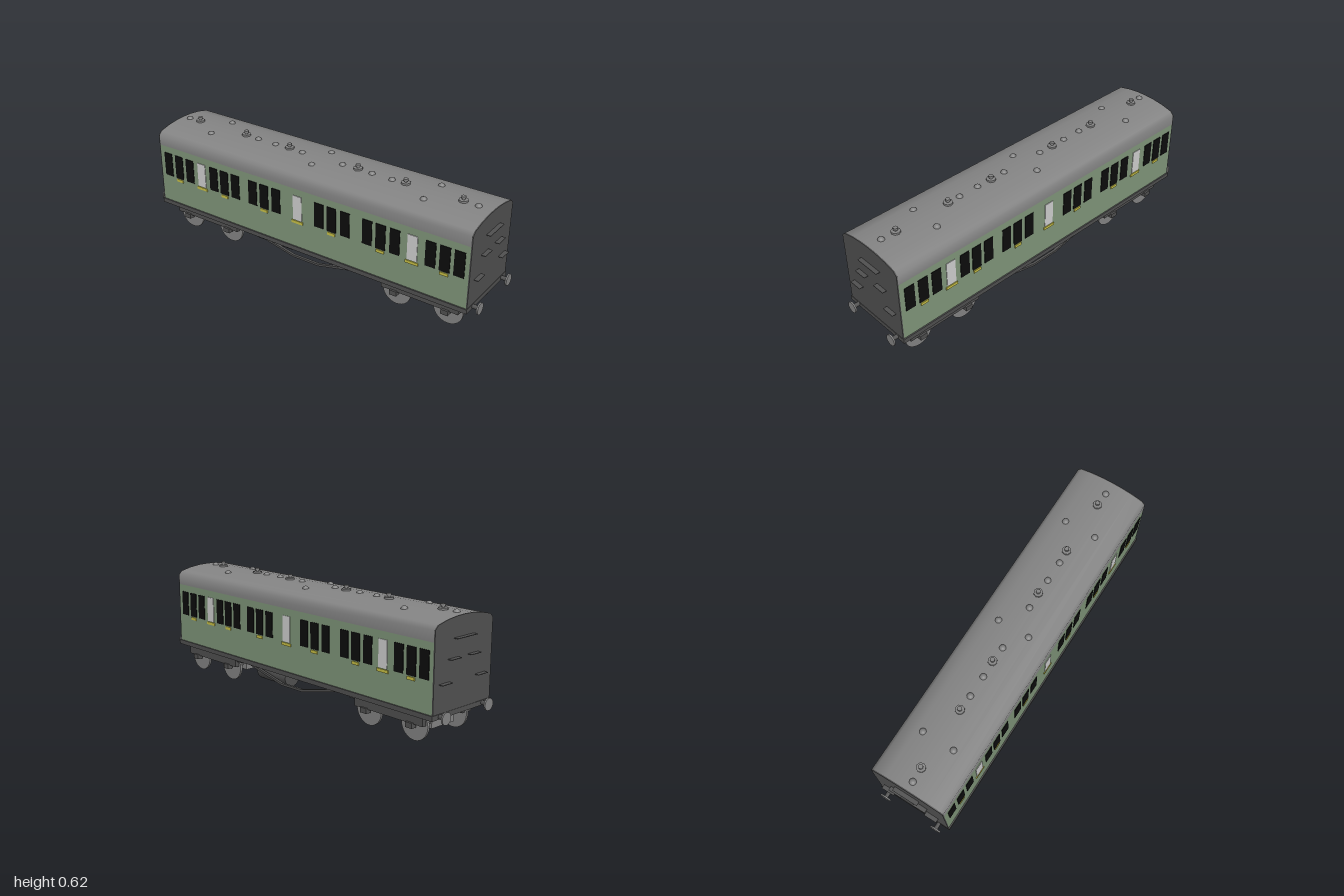
import * as THREE from 'three';
import { toCreasedNormals } from 'three/addons/utils/BufferGeometryUtils.js';

const mat = (name, color) => Object.assign(new THREE.MeshStandardMaterial({ color }), { name });

export function createModel() {
  const green = mat('body green', 0x80967a);
  const grey = mat('roof grey', 0x848484);
  const dark = mat('underframe dark grey', 0x505050);
  const black = mat('window black', 0x0c0c0c);
  const pale = mat('door window pale', 0xd0d0d0);
  const yellow = mat('handle yellow', 0xc8c046);

  const model = new THREE.Group();
  model.name = 'railwayCoach';

  const add = (parent, name, geo, material, x = 0, y = 0, z = 0) => {
    const m = new THREE.Mesh(geo, material);
    m.name = name;
    m.position.set(x, y, z);
    parent.add(m);
    return m;
  };
  // box given by its lower and upper bounds
  const box = (parent, name, material, x0, x1, y0, y1, z0, z1) =>
    add(parent, name, new THREE.BoxGeometry(x1 - x0, y1 - y0, z1 - z0), material,
      (x0 + x1) / 2, (y0 + y1) / 2, (z0 + z1) / 2);
  const group = (name, parent = model) => {
    const g = new THREE.Group();
    g.name = name;
    parent.add(g);
    return g;
  };

  // Body shell
  const W = 0.202, L = 0.952, SILL = 0.165, EAVE = 0.495;
  box(model, 'bodySides', green, -W, W, SILL, EAVE, -L, L);

  // Roof and end plates share one arched outline
  const half = [[W, 0.549], [0.183, 0.569], [0.12, 0.584], [0.055, 0.592]];
  const outline = (y0) => new THREE.Shape([
    [-W, y0], [W, y0], ...half, [0, 0.594],
    ...half.slice().reverse().map(([x, y]) => [-x, y]),
  ].map(([x, y]) => new THREE.Vector2(x, y)));
  const slab = (y0, depth) => new THREE.ExtrudeGeometry(outline(y0), { depth, bevelEnabled: false });
  add(model, 'roof', toCreasedNormals(slab(EAVE, 2 * L), 0.95), grey, 0, 0, -L);
  for (const z of [L, -L - 0.006]) add(model, 'endPlate', slab(SILL, 0.006), dark, 0, 0, z);

  // Windows and handles, repeated on the other side by a half turn
  const triples = [
    [0.898, 0.82, 0.742], [0.571, 0.497, 0.421], [0.303, 0.228, 0.15],
    [-0.12, -0.196, -0.276], [-0.405, -0.481, -0.56], [-0.753, -0.828, -0.903],
  ];
  for (const turn of [0, Math.PI]) {
    const side = group(turn ? 'rightSideDetails' : 'leftSideDetails');
    side.rotation.y = turn;
    const plate = (name, m, z, w, y0, y1, t) =>
      box(side, name, m, W - 0.002, W + t, y0, y1, z - w / 2, z + w / 2);
    for (const zs of triples) {
      for (const z of zs) plate('window', black, z, 0.055, 0.322, 0.457, 0.003);
      plate('windowHandle', yellow, zs[1], 0.044, 0.302, 0.317, 0.005);
    }
    for (const z of [0.656, 0.013, -0.656]) {
      plate('doorWindow', pale, z, 0.054, 0.322, 0.457, 0.003);
      plate('doorHandle', yellow, z, 0.07, 0.302, 0.317, 0.005);
    }
  }

  // Sole plate
  box(model, 'solePlate', dark, -0.209, 0.209, 0.141, SILL, -0.96, 0.96);

  // End steps and buffers
  for (const s of [1, -1]) {
    const end = group(s > 0 ? 'frontFittings' : 'backFittings');
    for (const [x, y, w] of [[0.005, 0.495, 0.14], [-0.065, 0.405, 0.07], [0.075, 0.405, 0.07],
      [-0.12, 0.3, 0.07], [0.132, 0.3, 0.07]])
      add(end, 'endStep', new THREE.BoxGeometry(w, 0.003, 0.024), dark, x, y, s * 0.968);
    for (const x of [-0.146, 0.157]) {
      add(end, 'bufferStem', new THREE.CylinderGeometry(0.011, 0.011, 0.045, 16), dark,
        x, 0.153, s * 0.972).rotation.x = Math.PI / 2;
      add(end, 'bufferHead', new THREE.CylinderGeometry(0.03, 0.03, 0.008, 24), grey,
        x, 0.153, s * 0.996).rotation.x = Math.PI / 2;
    }
  }

  // Bogies: local origin at the bogie centre, inner end towards the coach middle
  const CX = 0.005;
  for (const s of [1, -1]) {
    const bogie = group(s > 0 ? 'frontBogie' : 'backBogie');
    bogie.position.set(CX, 0, s > 0 ? 0.689 : -0.665);
    box(bogie, 'motorBox', grey, -0.078, 0.078, 0.052, 0.12, -0.19, 0.19);
    box(bogie, 'bolster', dark, -0.165, 0.165, 0.119, 0.142, -0.215, 0.205);
    const inner = -s * 0.235;
    box(bogie, 'innerBracket', dark, -0.165, 0.165, 0.119, 0.142, inner - 0.02, inner + 0.02);
    for (const side of [1, -1]) {
      const x = side * 0.162;
      box(bogie, 'sideFrame', dark, x - 0.012, x + 0.012, 0.09, 0.142, -0.217, 0.212);
      for (const e of [1, -1]) {
        const z = e * 0.143;
        add(bogie, 'frameEnd', new THREE.BoxGeometry(0.062, 0.048, 0.02), dark,
          side * 0.143, 0.113, e * 0.2);
        add(bogie, 'wheel', new THREE.CylinderGeometry(0.08, 0.08, 0.012, 32), grey,
          side * 0.138, 0.081, z).rotation.z = Math.PI / 2;
        add(bogie, 'axleBox', new THREE.BoxGeometry(0.03, 0.026, 0.04), dark,
          side * 0.17, 0.083, z);
      }
    }
  }

  // Underfloor tanks
  for (const [x, z] of [[0.095, 0.209], [-0.07, -0.245]])
    add(model, 'underfloorTank', new THREE.CylinderGeometry(0.05, 0.05, 0.23, 24), dark,
      x, 0.096, z).rotation.x = Math.PI / 2;

  // Truss rods
  const rod = [[0.4, 0.145], [0.09, 0.076], [-0.07, 0.076], [-0.38, 0.145]];
  for (const x of [-0.165, 0.17]) {
    const truss = group('trussRod');
    for (let i = 0; i < 3; i++) {
      const [z0, y0] = rod[i], [z1, y1] = rod[i + 1];
      add(truss, 'rodSegment', new THREE.BoxGeometry(0.014, 0.012, Math.hypot(z1 - z0, y1 - y0) + 0.004),
        dark, x, (y0 + y1) / 2, (z0 + z1) / 2).rotation.x = Math.atan2(y1 - y0, z0 - z1);
    }
  }

  // Roof ventilators
  const vents = group('roofVentilators');
  const dome = (x, y, z) => add(vents, 'domeVent',
    new THREE.SphereGeometry(0.018, 16, 6, 0, Math.PI * 2, 0, Math.PI / 2), grey, x, y, z);
  for (const z of [-0.905, -0.415, -0.3, -0.125, 0.125, 0.3, 0.415, 0.88]) dome(-0.005, 0.589, z);
  for (const z of [-0.68, -0.01, 0.635]) for (const x of [-0.082, 0.091]) dome(x, 0.583, z);
  for (const z of [-0.83, -0.5, -0.21, 0.215, 0.49, 0.8]) {
    const stack = group('stackVent', vents);
    stack.position.set(-0.001, 0, z);
    add(stack, 'stackBase', new THREE.CylinderGeometry(0.024, 0.024, 0.014, 8), grey, 0, 0.596, 0);
    add(stack, 'stackNeck', new THREE.CylinderGeometry(0.007, 0.007, 0.012, 8), grey, 0, 0.607, 0);
    add(stack, 'stackCap', new THREE.CylinderGeometry(0.012, 0.012, 0.012, 8), grey, 0, 0.615, 0);
  }
  return model;
}
